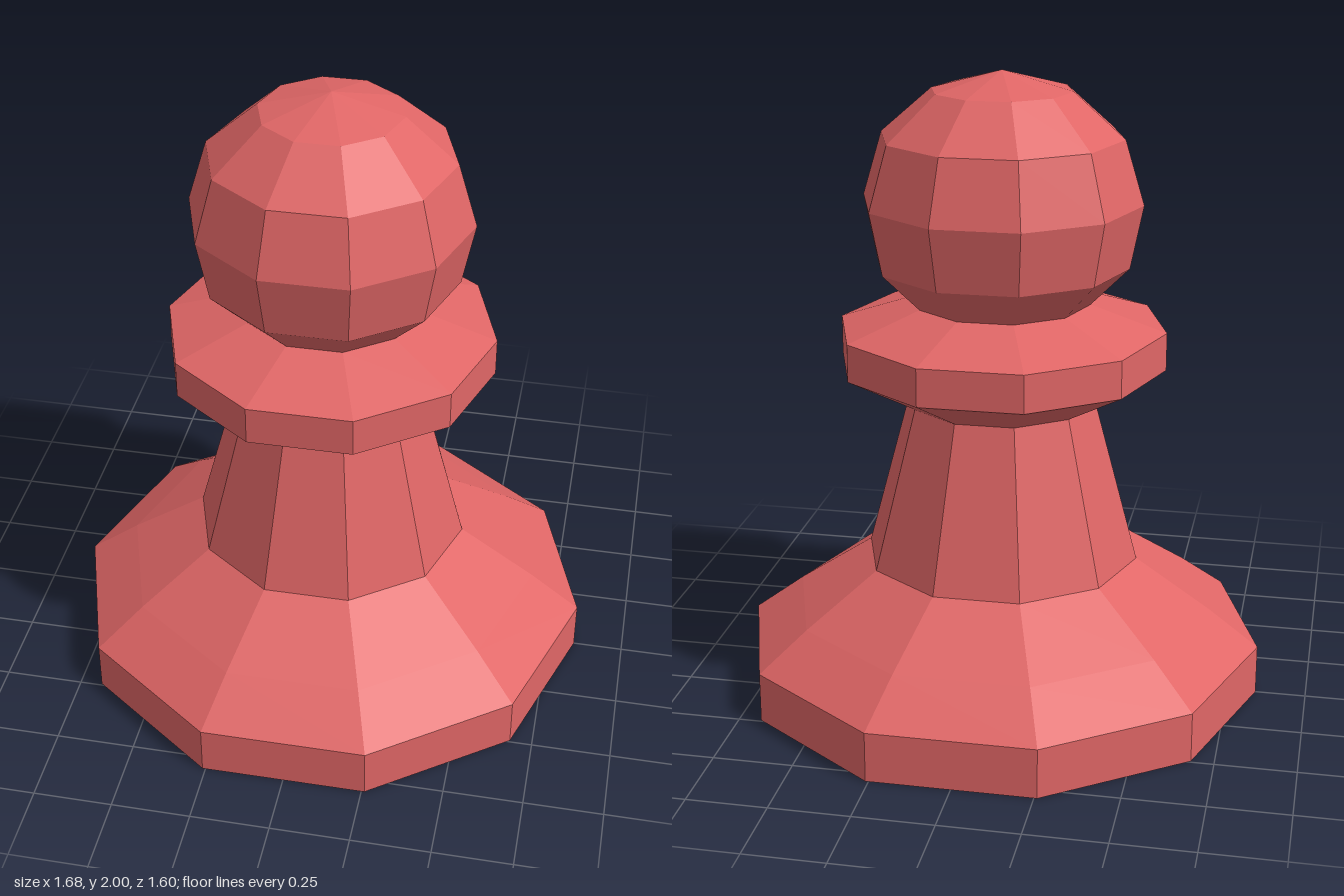
import * as THREE from 'three';

const SIDES = 10;

// Faceted turned part: profile runs bottom to top as [radius, height], with a corner on +x
function turned(name, profile, material) {
  const points = profile.map(([r, y]) => new THREE.Vector2(r, y));
  const geometry = new THREE.LatheGeometry(points, SIDES, Math.PI / 2).toNonIndexed();
  geometry.computeVertexNormals(); // one normal per face
  const mesh = new THREE.Mesh(geometry, material);
  mesh.name = name;
  return mesh;
}

export function createModel() {
  const group = new THREE.Group();
  group.name = 'pawn';

  const red = new THREE.MeshStandardMaterial({ color: 0xe06666, flatShading: true });
  red.name = 'coral red';

  // Flat foot, short rim and sloping shoulder
  group.add(turned('base', [[0, 0], [0.84, 0], [0.84, 0.16], [0.68, 0.28], [0.44, 0.44]], red));
  // Tapered stem
  group.add(turned('stem', [[0.44, 0.44], [0.3, 0.96]], red));
  // Bevelled collar
  group.add(turned('collar', [[0.3, 0.96], [0.52, 1.08], [0.52, 1.2], [0.28, 1.28]], red));
  // Faceted ball
  group.add(turned('head', [[0.28, 1.28], [0.4, 1.4], [0.44, 1.6], [0.38, 1.8], [0.22, 1.94], [0, 2]], red));

  return group;
}
